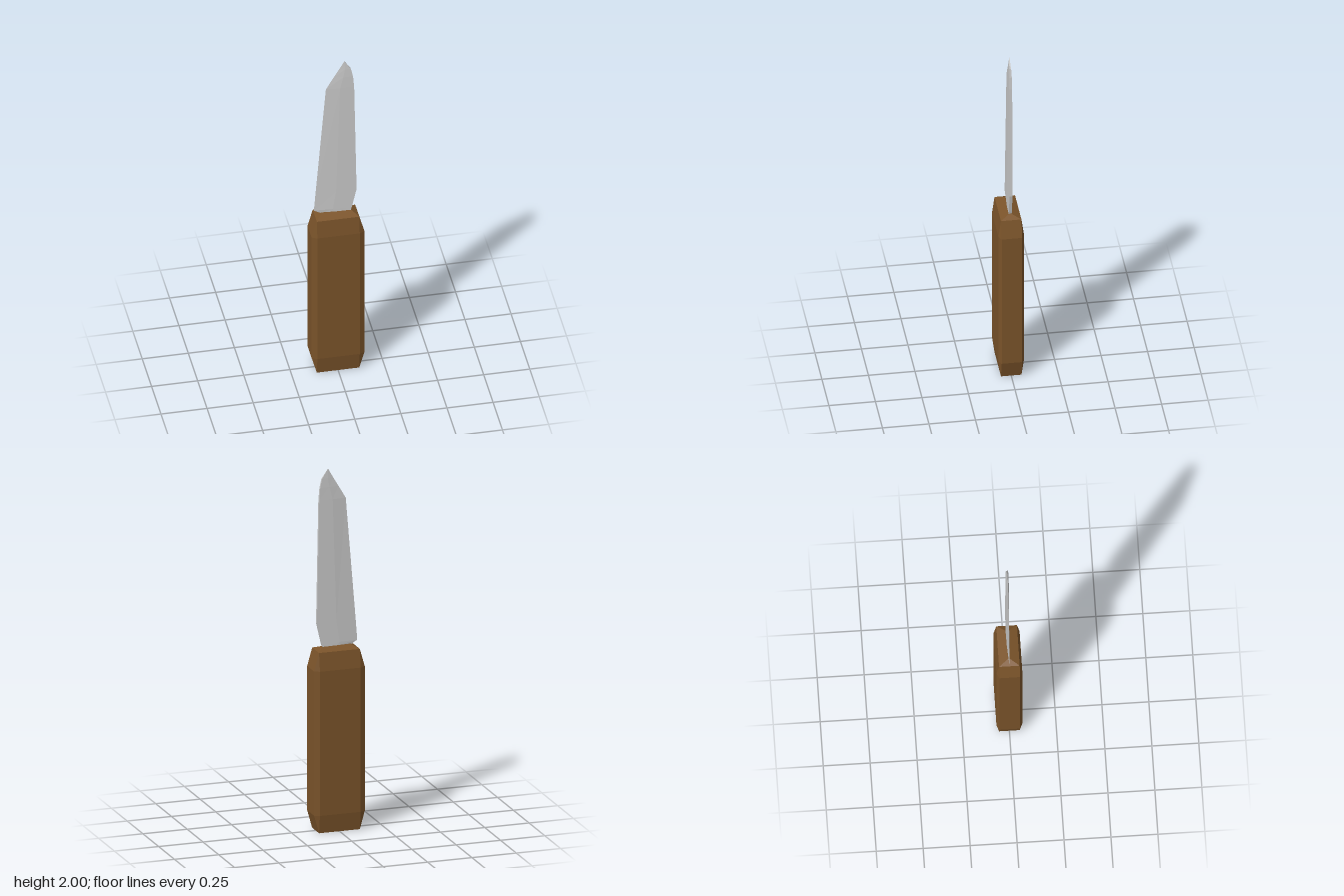
import * as THREE from 'three';

// Skin closed rings (ordered front -x to +x, then back) stacked from bottom to top
function loft(rings) {
  const pos = [];
  const tri = (a, b, c) => {
    const area = new THREE.Triangle(a, b, c).getArea();
    if (area > 1e-9) for (const p of [a, b, c]) pos.push(p.x, p.y, p.z);
  };
  const n = rings[0].length;
  for (let r = 0; r < rings.length - 1; r++) {
    for (let i = 0; i < n; i++) {
      const j = (i + 1) % n;
      const lo = rings[r], hi = rings[r + 1];
      tri(lo[i], lo[j], hi[j]);
      tri(lo[i], hi[j], hi[i]);
    }
  }
  // End caps
  const first = rings[0], last = rings[rings.length - 1];
  for (let i = 1; i < n - 1; i++) {
    tri(first[0], first[i + 1], first[i]);
    tri(last[0], last[i], last[i + 1]);
  }
  const g = new THREE.BufferGeometry();
  g.setAttribute('position', new THREE.Float32BufferAttribute(pos, 3));
  g.computeVertexNormals();
  return g;
}

const ring = (y, points) => points.map(([x, z]) => new THREE.Vector3(x, y, z));

// Rectangle with chamfered corners: outer half sizes X, Z and inner half sizes x, z
const octagon = (y, X, Z, x, z) => ring(y, [
  [-X, z], [-x, Z], [x, Z], [X, z], [X, -z], [x, -Z], [-x, -Z], [-X, -z],
]);

// Wedge section: sharp edge at x0, full thickness from the middle to the spine at x1
const wedge = (y, x0, x1, t) => {
  const mid = x0 + (x1 - x0) * 0.5;
  return ring(y, [[x0, 0], [mid, t * 0.85], [x1, t], [x1, -t], [mid, -t * 0.85]]);
};

function part(name, geometry, color) {
  const material = new THREE.MeshStandardMaterial({ color, flatShading: true });
  const mesh = new THREE.Mesh(geometry, material);
  mesh.name = name;
  return mesh;
}

export function createModel() {
  const model = new THREE.Group();
  model.name = 'knife';

  // Chamfered block handle with a low hipped top
  model.add(part('handle', loft([
    octagon(0, 0.115, 0.055, 0.115, 0.055),
    octagon(0.1, 0.143, 0.069, 0.115, 0.055),
    octagon(0.9, 0.143, 0.069, 0.115, 0.055),
    octagon(1.0, 0.115, 0.055, 0.115, 0.055),
    octagon(1.018, 0.08, 0.006, 0.08, 0.006),
  ]), 0x7b542a));

  // Blade: y, cutting edge x, spine x, half thickness
  model.add(part('blade', loft([
    [1.0, -0.07, 0.075, 0.008],
    [1.015, -0.085, 0.078, 0.008],
    [1.035, -0.12, 0.084, 0.008],
    [1.15, -0.111, 0.11, 0.008],
    [1.83, -0.055, 0.097, 0.008],
    [1.9, -0.014, 0.091, 0.007],
    [1.95, 0.016, 0.08, 0.005],
    [2.0, 0.044, 0.046, 0.001],
  ].map((row) => wedge(...row))), 0xcccccc));

  return model;
}
